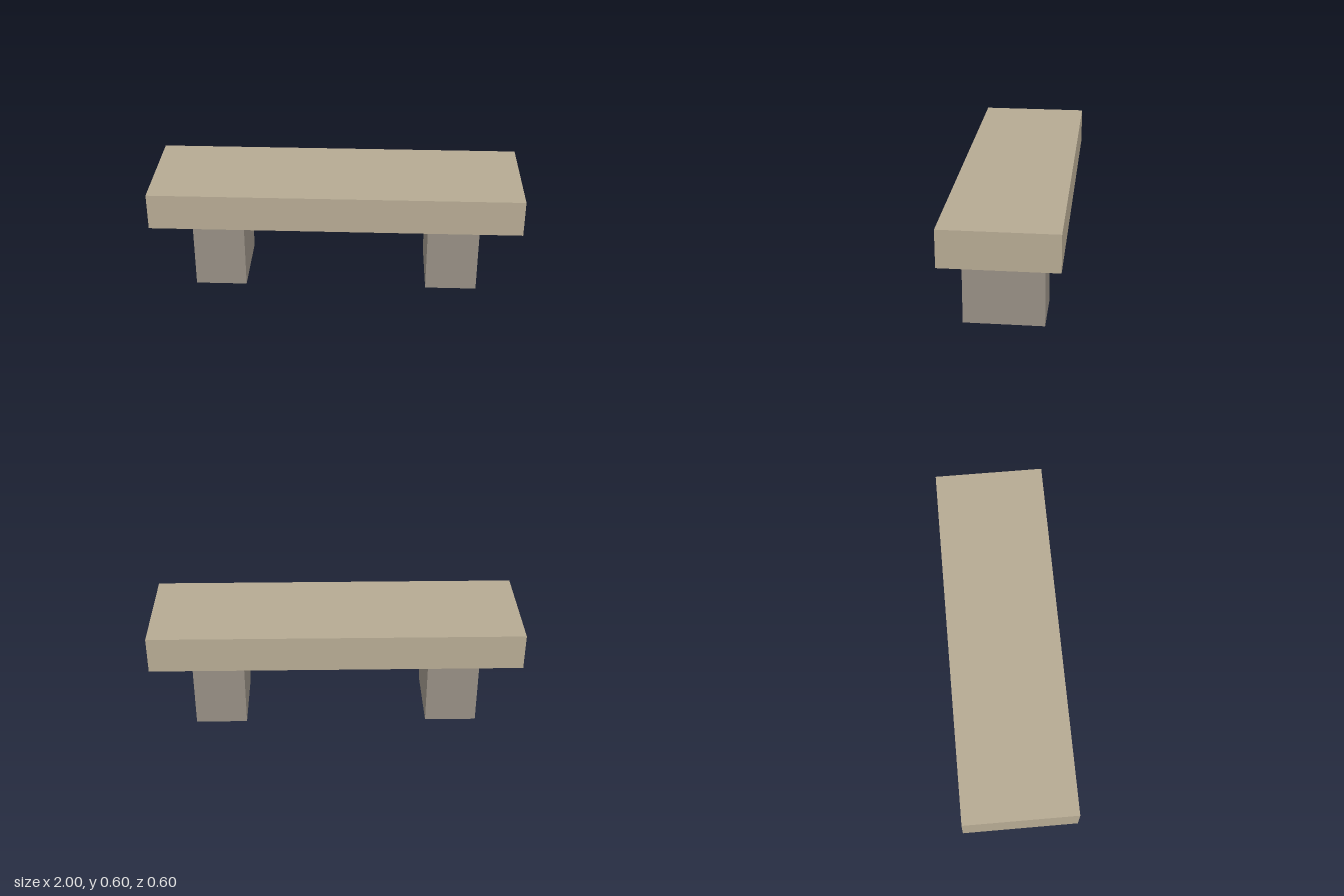
import * as THREE from 'three';

export function createModel() {
  const group = new THREE.Group();
  group.name = 'bench';

  const seatMaterial = new THREE.MeshStandardMaterial({ color: 0xb5a992 });
  seatMaterial.name = 'sandstone';
  const legMaterial = new THREE.MeshStandardMaterial({ color: 0x968e83 });
  legMaterial.name = 'grey stone';

  const height = 0.602, legHeight = 0.403;

  // A box standing on the given base height
  const addBlock = (name, material, width, tall, depth, x, base) => {
    const mesh = new THREE.Mesh(new THREE.BoxGeometry(width, tall, depth), material);
    mesh.name = name;
    mesh.position.set(x, base + tall / 2, 0);
    group.add(mesh);
  };

  // Thick seat slab
  addBlock('seat', seatMaterial, 2, height - legHeight, 0.602, 0, legHeight);

  // Two block legs, mirrored across x
  for (const side of [-1, 1]) {
    addBlock(side > 0 ? 'leftLeg' : 'rightLeg', legMaterial, 0.28, legHeight, 0.42, side * 0.64, 0);
  }

  return group;
}
